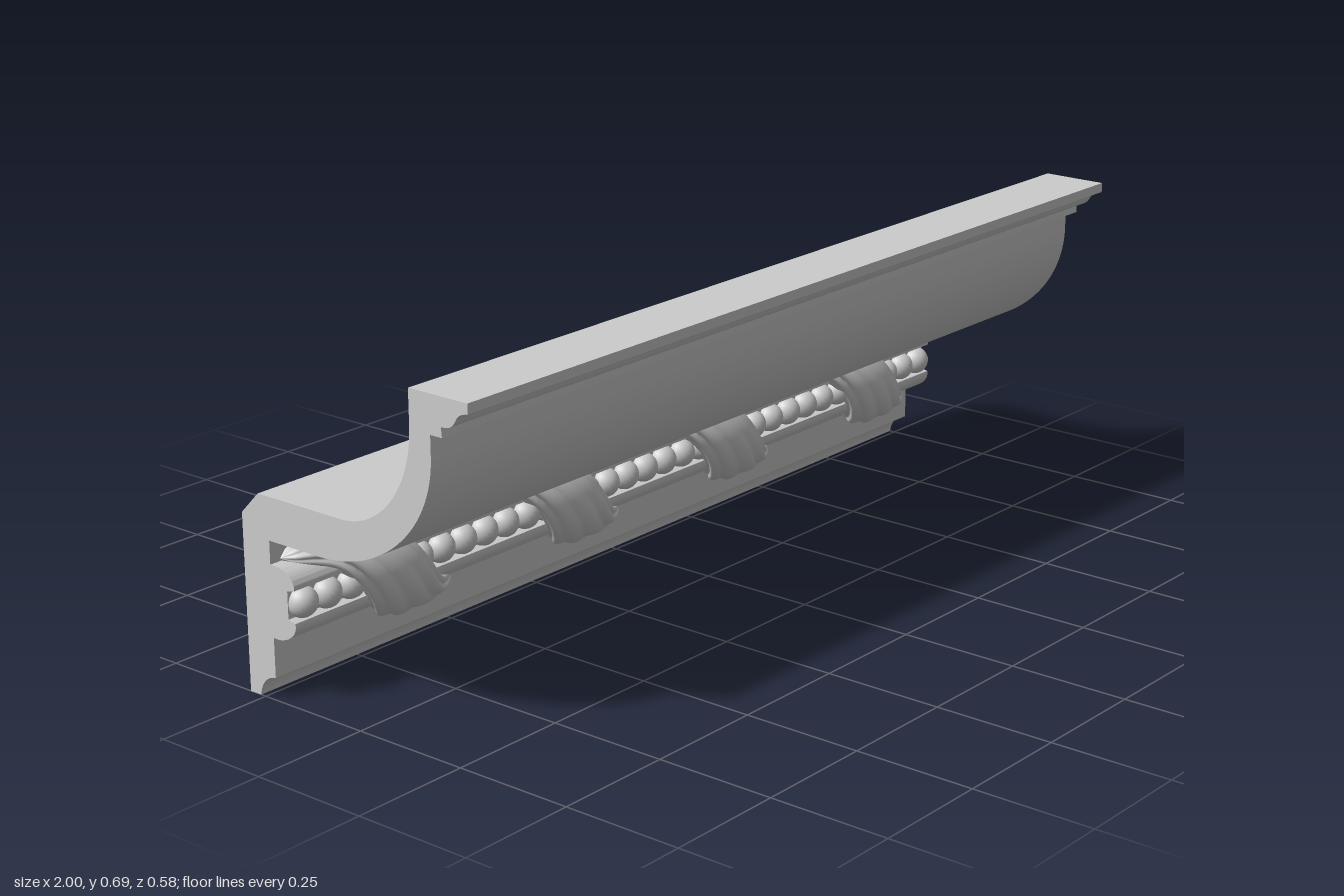
import * as THREE from 'three';
import { toCreasedNormals } from 'three/addons/utils/BufferGeometryUtils.js';

const LENGTH = 2;
const AXIS_Y = 0.2, AXIS_Z = -0.22; // centre line the ornament wraps around
const material = new THREE.MeshStandardMaterial({ color: 0xcccccc });

function addMesh(parent, name, geometry) {
  const mesh = new THREE.Mesh(geometry, material);
  mesh.name = name;
  parent.add(mesh);
  return mesh;
}

// Runs a (z, y) profile along the full length in x
function runProfile(shape) {
  const geometry = new THREE.ExtrudeGeometry(shape, { depth: LENGTH, bevelEnabled: false, curveSegments: 24 });
  geometry.rotateY(-Math.PI / 2).translate(LENGTH / 2, 0, 0);
  return toCreasedNormals(geometry, 0.45);
}

// Cornice: back plate, cove and moulded lip
function corniceShape() {
  const s = new THREE.Shape();
  s.moveTo(0.29, 0.685);
  s.lineTo(0.15, 0.685);
  s.lineTo(0.15, 0.615);
  s.absellipse(-0.03, 0.615, 0.18, 0.212, 0, -Math.PI / 2, true);
  s.lineTo(-0.245, 0.403);
  s.lineTo(-0.29, 0.357);
  s.lineTo(-0.29, 0);
  s.lineTo(-0.262, 0);
  s.bezierCurveTo(-0.26, 0.022, -0.245, 0.042, -0.22, 0.045);
  s.lineTo(-0.22, 0.317);
  s.lineTo(-0.09, 0.317);
  s.absellipse(-0.09, 0.57, 0.29, 0.253, -Math.PI / 2, 0, false);
  s.lineTo(0.2, 0.61);
  s.lineTo(0.228, 0.61);
  s.lineTo(0.226, 0.63);
  s.bezierCurveTo(0.255, 0.628, 0.258, 0.645, 0.266, 0.655);
  s.quadraticCurveTo(0.274, 0.663, 0.29, 0.665);
  return s;
}

// Core moulding: two rounded rails with a groove for the beads
function coreShape() {
  const s = new THREE.Shape();
  s.moveTo(-0.225, 0.27);
  s.lineTo(-0.225, 0.125);
  s.lineTo(-0.205, 0.125);
  s.bezierCurveTo(-0.18, 0.128, -0.155, 0.145, -0.16, 0.168);
  s.lineTo(-0.178, 0.172);
  s.lineTo(-0.178, 0.228);
  s.lineTo(-0.16, 0.232);
  s.bezierCurveTo(-0.155, 0.25, -0.18, 0.27, -0.205, 0.27);
  return s;
}

// Path of one leafy strap winding over the core from top left to bottom right
function strapPoint(t) {
  const angle = -Math.PI / 2 * Math.sin(t * Math.PI / 2);
  return new THREE.Vector3(
    0.215 * (0.65 * t + 0.35 * t ** 3),
    AXIS_Y - 0.075 * Math.sin(-angle),
    AXIS_Z + 0.075 * Math.cos(angle)
  );
}

// Tapered, grooved strap swept along the path
function strapGeometry() {
  const rows = 56, sides = 72, ribs = 9;
  const positions = [], indices = [];
  for (let i = 0; i <= rows; i++) {
    const t = -1 + 2 * i / rows;
    const centre = strapPoint(t);
    const tangent = strapPoint(t + 0.01).sub(strapPoint(t - 0.01)).normalize();
    const normal = new THREE.Vector3(0, centre.y - AXIS_Y, centre.z - AXIS_Z).normalize();
    const side = new THREE.Vector3().crossVectors(tangent, normal).normalize();
    const taper = Math.max(0.02, Math.sqrt(1 - Math.abs(t) ** 4));
    for (let j = 0; j < sides; j++) {
      const a = j / sides * Math.PI * 2;
      const rib = 0.87 + 0.13 * Math.abs(Math.cos(ribs / 2 * a + t * 3));
      const p = centre.clone()
        .addScaledVector(normal, 0.041 * taper * rib * Math.cos(a))
        .addScaledVector(side, 0.074 * taper * rib * Math.sin(a));
      positions.push(p.x, Math.min(p.y, 0.317), Math.max(p.z, -0.23));
    }
  }
  for (let i = 0; i < rows; i++) {
    for (let j = 0; j < sides; j++) {
      const a = i * sides + j, b = i * sides + (j + 1) % sides;
      indices.push(a, b, a + sides, b, b + sides, a + sides);
    }
  }
  const geometry = new THREE.BufferGeometry();
  geometry.setAttribute('position', new THREE.Float32BufferAttribute(positions, 3));
  geometry.setIndex(indices);
  geometry.computeVertexNormals();
  return geometry;
}

export function createModel() {
  const model = new THREE.Group();
  model.name = 'corniceMoulding';
  addMesh(model, 'cornice', runProfile(corniceShape()));
  addMesh(model, 'ornamentCore', runProfile(coreShape()));

  // Row of beads between the rails
  const beads = new THREE.Group();
  beads.name = 'beads';
  model.add(beads);
  const bead = new THREE.SphereGeometry(0.031, 20, 14);
  const count = 33;
  for (let i = 0; i < count; i++) {
    const x = -0.968 + 1.936 * i / (count - 1);
    addMesh(beads, 'bead', bead).position.set(x, AXIS_Y, -0.174);
  }

  // Repeating straps
  const straps = new THREE.Group();
  straps.name = 'straps';
  model.add(straps);
  const strap = strapGeometry();
  for (let i = 0; i < 4; i++) addMesh(straps, 'strap', strap).position.x = -0.76 + 0.5 * i;

  return model;
}
